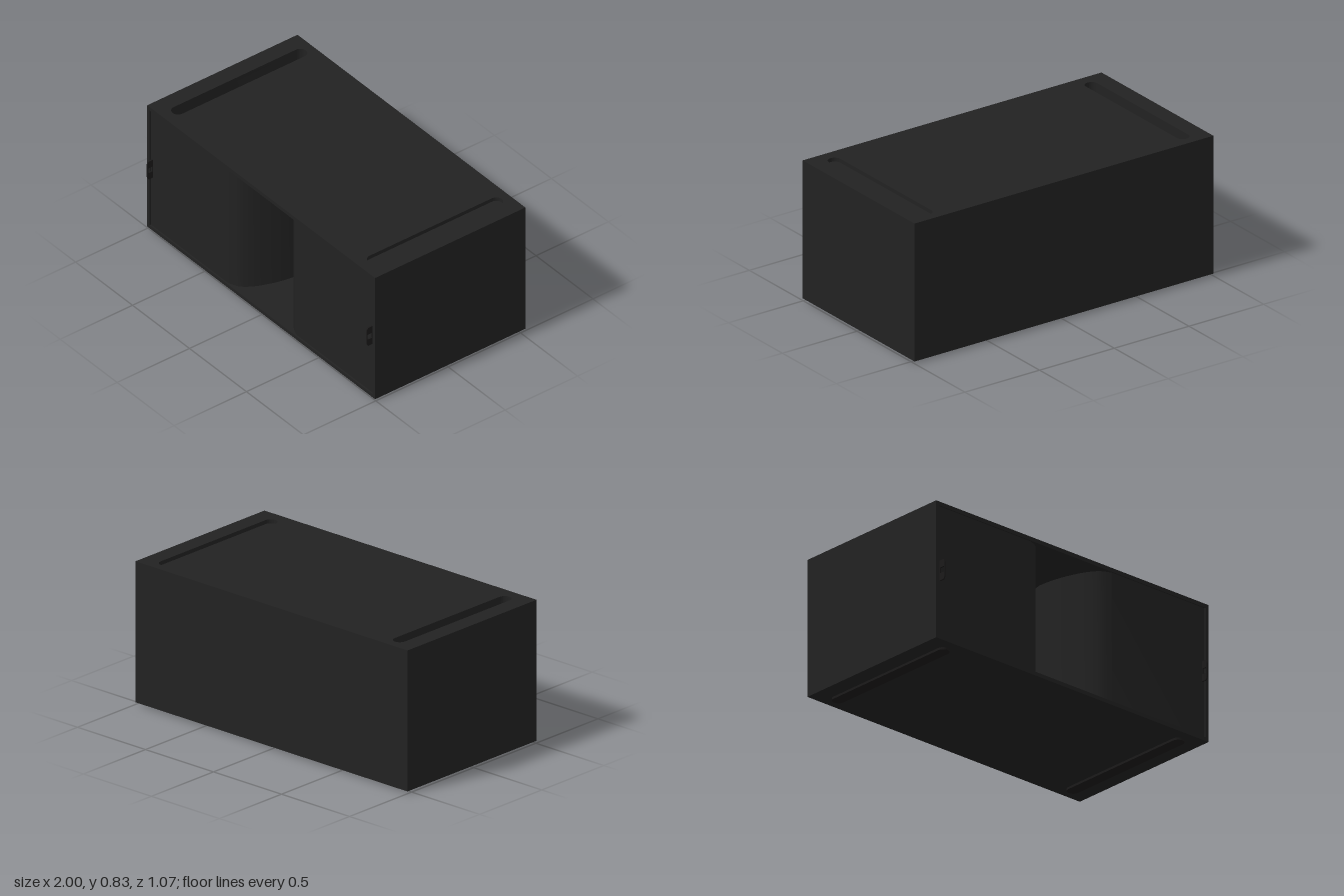
import * as THREE from 'three';
import { toCreasedNormals } from 'three/addons/utils/BufferGeometryUtils.js';

const BOTTOM = 0.013, TOP = 0.833, FLOOR = 0.035, CEILING = 0.81;
const FRONT = 0.505, PANEL = 0.496, BACK = -0.533, THROAT = -0.08;

// Rounded-end strip in plan; shape y is -z
function strip(cls, x, z0, z1, r) {
  const s = new cls();
  s.absarc(x, -z0 - r, r, 0, Math.PI, false);
  s.absarc(x, -z1 + r, r, Math.PI, Math.PI * 2, false);
  s.closePath();
  return s;
}

function rect(x, z0, z1) {
  return new THREE.Shape([[-x, -z1], [x, -z1], [x, -z0], [-x, -z0]].map(p => new THREE.Vector2(...p)));
}

// Extrude a plan shape between two heights
function slab(shape, y0, y1) {
  const g = new THREE.ExtrudeGeometry(shape, { depth: y1 - y0, bevelEnabled: false, curveSegments: 16 });
  g.rotateX(-Math.PI / 2).translate(0, y0, 0);
  return toCreasedNormals(g, 0.5);
}

export function createModel() {
  const model = new THREE.Group();
  const cabinetPaint = new THREE.MeshStandardMaterial({ color: 0x222222 });
  cabinetPaint.name = 'cabinetBlack';
  const trimPaint = new THREE.MeshStandardMaterial({ color: 0x1b1a1a });
  trimPaint.name = 'trimBlack';

  const add = (name, geometry, material = cabinetPaint) => {
    const m = new THREE.Mesh(geometry, material);
    m.name = name;
    model.add(m);
    return m;
  };
  const box = (name, w, h, d, x, y, z, material) =>
    add(name, new THREE.BoxGeometry(w, h, d).translate(x, y, z), material);

  // Bottom and top boards; the top has two stacking slots
  add('bottomBoard', slab(rect(1, BACK, FRONT), BOTTOM, FLOOR));
  const slot = x => strip(THREE.Path, x, -0.48, 0.44, 0.038);
  const topShape = rect(1, BACK, FRONT);
  topShape.holes.push(slot(-0.86), slot(0.86));
  add('topBoard', slab(topShape, CEILING, TOP));

  // Core with a flared mouth cut into the front
  const flare = new THREE.SplineCurve([
    [0.3, PANEL], [0.23, 0.46], [0.17, 0.36], [0.125, 0.19], [0.112, THROAT]
  ].map(([x, z]) => new THREE.Vector2(x, -z))).getPoints(28);
  const outline = [
    new THREE.Vector2(-1, -BACK), new THREE.Vector2(-1, -PANEL),
    ...flare.map(p => new THREE.Vector2(-p.x, p.y)),
    ...flare.slice().reverse(),
    new THREE.Vector2(1, -PANEL), new THREE.Vector2(1, -BACK)
  ];
  const core = new THREE.Shape(outline);
  core.holes.push(slot(-0.86));
  add('core', slab(core, FLOOR, CEILING));
  add('deepSlotFloor', slab(strip(THREE.Shape, -0.86, -0.48, 0.44, 0.038), 0.72, 0.73));

  // Sloping wedges above and below the throat
  const wedge = (y0, y1) => {
    const s = new THREE.Shape();
    s.moveTo(-0.14, y0);
    s.lineTo(-THROAT, y0);
    s.lineTo(-THROAT, y1);
    s.closePath();
    const g = new THREE.ExtrudeGeometry(s, { depth: 0.224, bevelEnabled: false });
    return g.rotateY(Math.PI / 2).translate(-0.112, 0, 0);
  };
  add('throatFloorWedge', wedge(FLOOR, 0.087));
  add('throatCeilingWedge', wedge(CEILING, 0.763));
  box('throatSeam', 0.016, 0.68, 0.008, 0, 0.425, THROAT + 0.004, trimPaint);

  for (const side of [-1, 1]) {
    const label = side > 0 ? 'left' : 'right';
    // Raised rim beside the inset front
    box(label + 'Rim', 0.022, CEILING - FLOOR, FRONT - PANEL, side * 0.989, (FLOOR + CEILING) / 2, (FRONT + PANEL) / 2);
    // Skid under the cabinet
    add(label + 'Skid', slab(strip(THREE.Shape, side * 0.862, -0.47, 0.445, 0.036), 0, BOTTOM), trimPaint);
    // Thin pull handle: a loop with a rectangular opening
    const pull = new THREE.Shape();
    pull.moveTo(0.49, 0.365);
    pull.lineTo(0.525, 0.365);
    pull.quadraticCurveTo(0.532, 0.367, 0.535, 0.385);
    pull.lineTo(0.535, 0.465);
    pull.quadraticCurveTo(0.532, 0.483, 0.525, 0.485);
    pull.lineTo(0.49, 0.485);
    pull.closePath();
    pull.holes.push(new THREE.Path([[0.5, 0.408], [0.53, 0.408], [0.53, 0.441], [0.5, 0.441]]
      .map(p => new THREE.Vector2(...p))));
    const g = new THREE.ExtrudeGeometry(pull, { depth: 0.008, bevelEnabled: false });
    g.rotateY(-Math.PI / 2).translate(side * 0.963 + 0.004, 0, 0);
    add(label + 'Handle', g, trimPaint);
  }
  return model;
}
